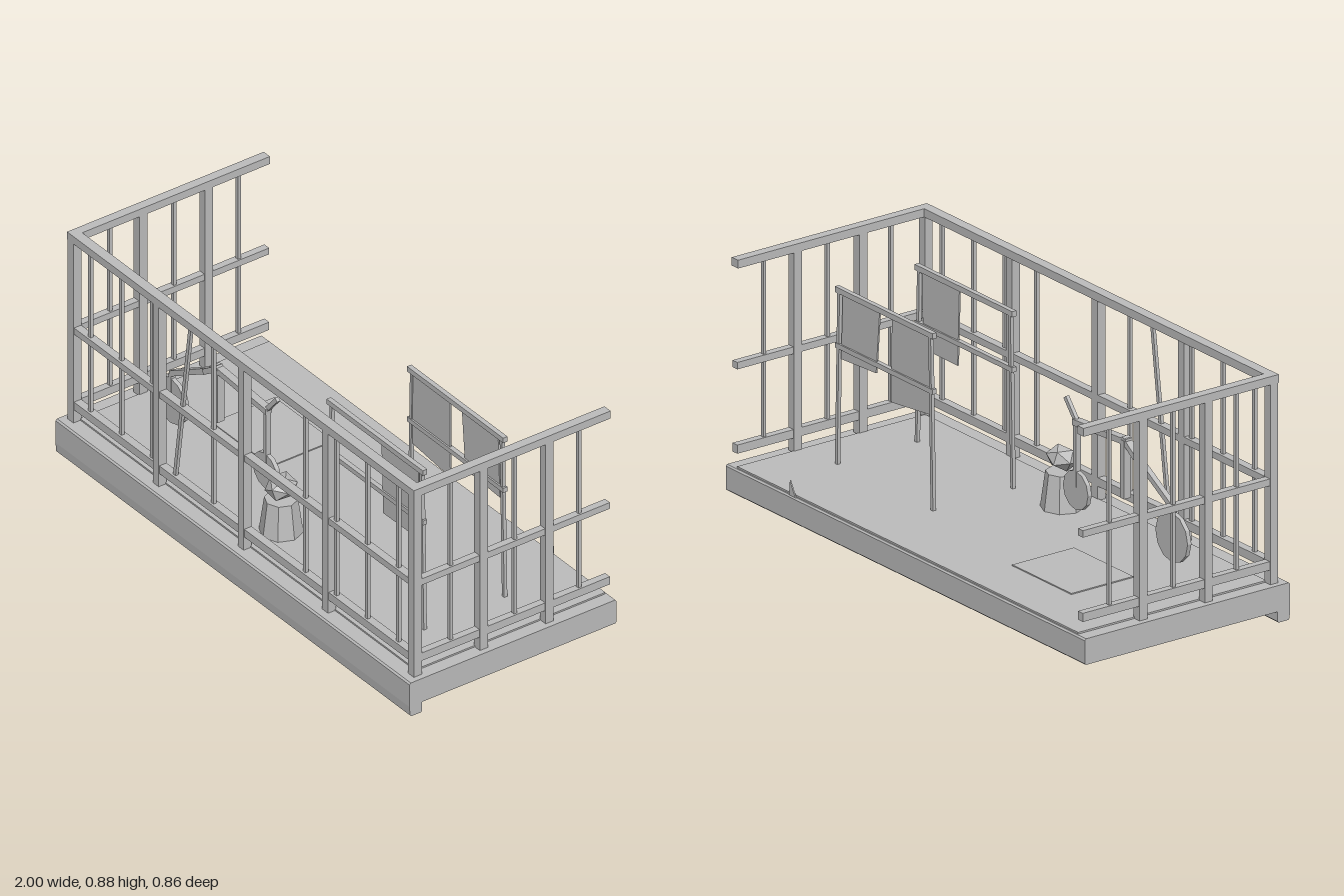
import * as THREE from 'three';

export function createModel() {
  const root = new THREE.Group();
  const grey = new THREE.MeshStandardMaterial({ color: 0xbcbcbc, flatShading: true });
  grey.name = 'plain grey';
  const sheet = grey; // thin parts are closed solids, so one material serves all

  const add = (name, geo, parent = root, mat = grey) => {
    const m = new THREE.Mesh(geo, mat);
    m.name = name;
    parent.add(m);
    return m;
  };
  const group = (name) => {
    const g = new THREE.Group();
    g.name = name;
    root.add(g);
    return g;
  };
  // Box given by its limits on each axis
  const box = (name, x0, x1, y0, y1, z0, z1, parent) => {
    const m = add(name, new THREE.BoxGeometry(x1 - x0, y1 - y0, z1 - z0), parent);
    m.position.set((x0 + x1) / 2, (y0 + y1) / 2, (z0 + z1) / 2);
    return m;
  };
  // Square bar between two points in a plane of constant z
  const bar = (name, a, b, z, w, d, parent) => {
    const dx = b[0] - a[0], dy = b[1] - a[1];
    const m = add(name, new THREE.BoxGeometry(Math.hypot(dx, dy), w, d), parent);
    m.position.set((a[0] + b[0]) / 2, (a[1] + b[1]) / 2, z);
    m.rotation.z = Math.atan2(dy, dx);
    return m;
  };
  // Thin plate from an outline in the xy plane
  const plate = (name, pts, z, t, parent) => {
    const shape = new THREE.Shape(pts.map((p) => new THREE.Vector2(...p)));
    const m = add(name, new THREE.ExtrudeGeometry(shape, { depth: t, bevelEnabled: false }), parent, sheet);
    m.position.z = z - t / 2;
    return m;
  };

  // Balcony slab: one cross-section with a drip lip along the front
  const profile = new THREE.Shape([
    [-0.43, 0.045], [-0.425, 0.04], [0.38, 0.04], [0.38, 0.005], [0.385, 0], [0.425, 0],
    [0.43, 0.005], [0.433, 0.04], [0.433, 0.128], [0.427, 0.134], [-0.425, 0.134], [-0.43, 0.128],
  ].map((p) => new THREE.Vector2(...p)));
  const slab = add('slab', new THREE.ExtrudeGeometry(profile, { depth: 2, bevelEnabled: false }));
  slab.rotation.y = -Math.PI / 2;
  slab.position.x = 1;
  box('floor', -0.95, 0.95, 0.13, 0.14, -0.42, 0.37);
  box('floorMat', -0.66, -0.33, 0.138, 0.144, -0.23, 0.03);
  plate('floorShard', [[0.615, 0.134], [0.65, 0.134], [0.645, 0.188]], -0.426, 0.005);

  // Railing
  const railing = group('railing');
  const rails = [[0.855, 0.885, 0.0], [0.49, 0.515, 0.004], [0.186, 0.217, 0.004]];
  for (const [y0, y1, inset] of rails) {
    box('frontRail', -0.98 + inset, 0.98 - inset, y0, y1, 0.362 + inset, 0.4 - inset, railing);
    for (const s of [-1, 1]) {
      const a = s * (0.98 - inset), b = s * (0.945 + inset);
      box('sideRail', Math.min(a, b), Math.max(a, b), y0, y1, -0.42, 0.362 + inset, railing);
    }
  }
  const post = (x, z) => box('post', x - 0.0165, x + 0.0165, 0.13, 0.856, z - 0.0165, z + 0.0165, railing);
  const baluster = (x, z) => box('baluster', x - 0.007, x + 0.007, 0.21, 0.856, z - 0.006, z + 0.006, railing);
  for (const x of [-0.962, -0.48, 0, 0.477, 0.962]) post(x, 0.382);
  for (const x of [-0.87, -0.695, -0.52, -0.175, 0.345, 0.52, 0.695, 0.87]) baluster(x, 0.382);
  bar('bentBaluster', [-0.39, 0.215], [-0.302, 0.857], 0.382, 0.014, 0.012, railing);
  for (const s of [-1, 1]) {
    for (const z of [0.107, -0.167]) post(s * 0.962, z);
    for (const z of [0.235, -0.032, -0.3]) baluster(s * 0.962, z);
  }

  // Planter with a faceted bush
  const planter = group('planter');
  planter.position.set(0, 0, 0.23);
  add('pot', new THREE.CylinderGeometry(0.058, 0.076, 0.13, 8), planter).position.y = 0.204;
  const bush = add('bush', new THREE.IcosahedronGeometry(0.058, 0), planter);
  bush.scale.y = 0.78;
  bush.rotation.set(0.25, 0.4, 0.1);
  bush.position.y = 0.317;

  // Scooter-like frame with two disc wheels
  const scooter = group('scooter');
  const sz = 0.167;
  for (const [x, r] of [[-0.702, 0.09], [-0.167, 0.07]]) {
    const wheel = add('wheel', new THREE.CylinderGeometry(r, r, 0.016, 12), scooter);
    wheel.rotation.x = Math.PI / 2;
    wheel.position.set(x, 0.268, sz);
  }
  bar('rearArm', [-0.702, 0.375], [-0.495, 0.495], sz, 0.02, 0.02, scooter);
  bar('rearFork', [-0.702, 0.375], [-0.702, 0.268], sz, 0.014, 0.02, scooter);
  bar('seatJoint', [-0.51, 0.485], [-0.43, 0.54], sz, 0.02, 0.028, scooter);
  bar('topTube', [-0.455, 0.532], [-0.155, 0.512], sz, 0.022, 0.028, scooter);
  bar('seatPost', [-0.436, 0.535], [-0.436, 0.325], sz, 0.022, 0.03, scooter);
  bar('frontFork', [-0.165, 0.515], [-0.165, 0.28], sz, 0.016, 0.02, scooter);
  bar('handle', [-0.168, 0.51], [-0.105, 0.585], sz, 0.016, 0.014, scooter);

  // Two drying frames with hanging cloths
  for (const z of [0.2, -0.135]) {
    const rack = group('dryingRack');
    bar('rackLeg', [0.235, 0.135], [0.248, 0.77], z, 0.013, 0.013, rack);
    bar('rackLeg', [0.768, 0.135], [0.755, 0.77], z, 0.013, 0.013, rack);
    box('topRod', 0.228, 0.772, 0.76, 0.78, z - 0.009, z + 0.009, rack);
    box('lowerRod', 0.228, 0.772, 0.56, 0.578, z - 0.009, z + 0.009, rack);
    if (z > 0) {
      plate('cloth', [[0.54, 0.485], [0.73, 0.487], [0.74, 0.765], [0.53, 0.765]], z, 0.006, rack);
    } else {
      plate('cloth', [[0.25, 0.48], [0.465, 0.457], [0.462, 0.765], [0.252, 0.765]], z, 0.006, rack);
      plate('shortCloth', [[0.55, 0.535], [0.745, 0.525], [0.735, 0.765], [0.53, 0.765]], z, 0.006, rack);
    }
  }
  return root;
}
